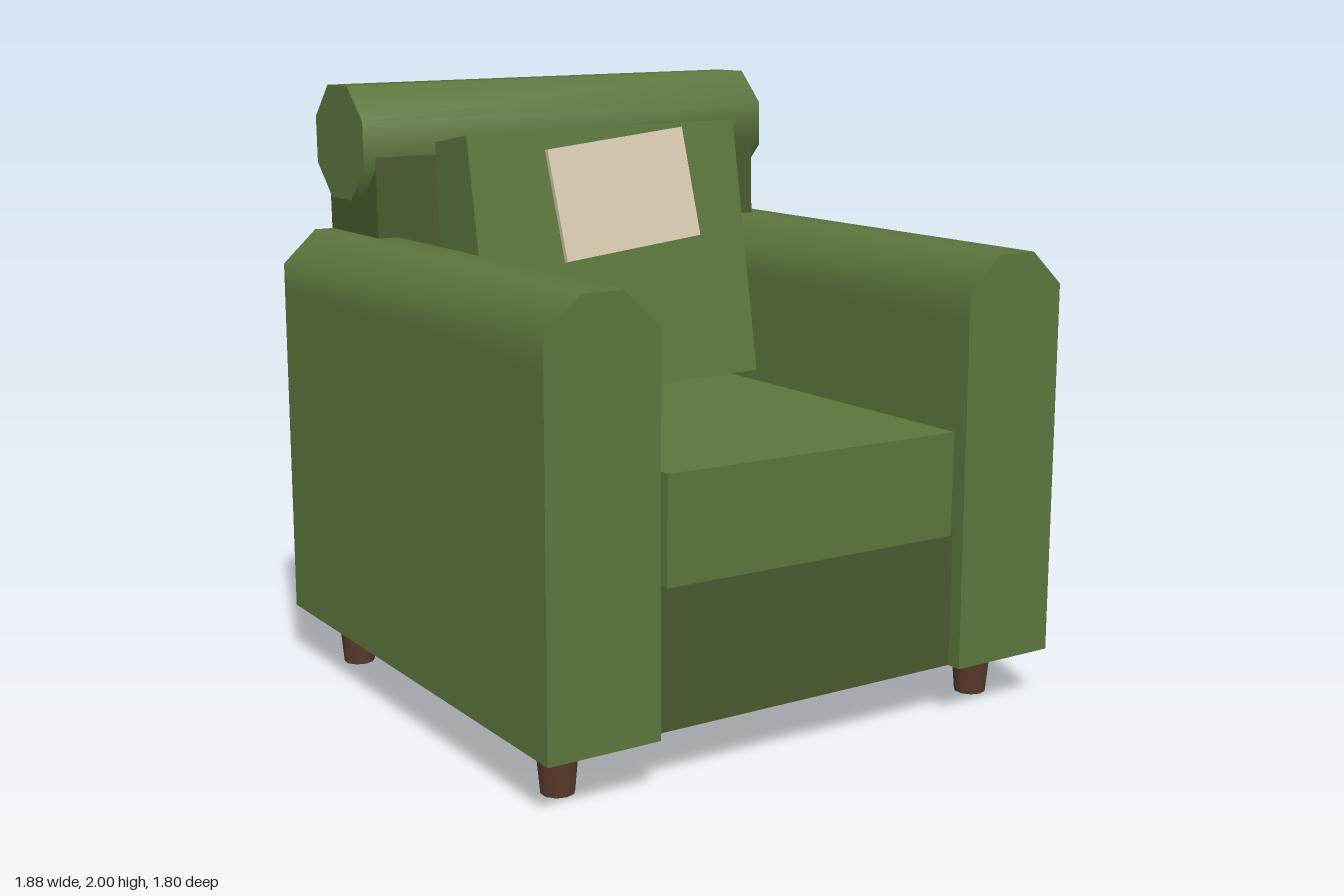
import * as THREE from 'three';
import { toCreasedNormals } from 'three/addons/utils/BufferGeometryUtils.js';

const material = (name, color) => {
  const m = new THREE.MeshStandardMaterial({ color });
  m.name = name;
  return m;
};

export function createModel() {
  const green = material('green fabric', 0x5c753c);
  const darkGreen = material('dark green fabric', 0x485a2d);
  const cream = material('cream fabric', 0xdacdb2);
  const wood = material('brown wood', 0x5a3a2c);

  const model = new THREE.Group();
  model.name = 'armchair';

  const add = (name, geometry, mat, pos, rot = [0, 0, 0], parent = model) => {
    const mesh = new THREE.Mesh(geometry, mat);
    mesh.name = name;
    mesh.position.set(...pos);
    mesh.rotation.set(...rot);
    parent.add(mesh);
    return mesh;
  };

  // Extrudes a profile, centred along its depth, with softened shallow edges
  const extrude = (points, depth) => {
    const shape = new THREE.Shape(points.map(([x, y]) => new THREE.Vector2(x, y)));
    const geometry = new THREE.ExtrudeGeometry(shape, { depth, bevelEnabled: false });
    geometry.translate(0, 0, -depth / 2);
    return toCreasedNormals(geometry, 0.9);
  };

  // Arms with chamfered, softly shaded tops
  const w = 0.1875;
  const armGeometry = extrude([
    [-w, 0.17], [w, 0.17], [w, 1.28], [w, 1.38], [0.07, 1.49],
    [-0.07, 1.49], [-w, 1.38], [-w, 1.28],
  ], 1.78);
  add('leftArm', armGeometry, green, [0.7525, 0, 0.01]);
  add('rightArm', armGeometry, green, [-0.7525, 0, 0.01]);

  // Frame: seat base and slightly reclined backrest
  add('seatBase', new THREE.BoxGeometry(1.13, 0.45, 1.7), darkGreen, [0, 0.395, 0]);
  add('backrest', new THREE.BoxGeometry(1.505, 1.16, 0.375), darkGreen,
    [-0.002, 1.17, -0.692], [-0.03, 0, 0]);

  // Octagonal head roll
  const r = 0.203;
  const octagon = Array.from({ length: 8 }, (_, i) => {
    const a = (i + 0.5) * Math.PI / 4;
    return [r * Math.cos(a), r * Math.sin(a)];
  });
  const rollGeometry = extrude(octagon, 1.585);
  rollGeometry.rotateY(Math.PI / 2);
  add('headRoll', rollGeometry, green, [-0.005, 1.805, -0.71], [0, 0, 0.0126]);

  // Loose seat cushion, a little askew
  add('seatCushion', new THREE.BoxGeometry(1.085, 0.335, 1.37), green,
    [-0.003, 0.776, 0.183], [0, 0.022, -0.013]);

  // Leaning back cushion with a cream patch on its front
  const cushion = new THREE.Group();
  cushion.name = 'backCushion';
  cushion.position.set(-0.005, 1.404, -0.23);
  cushion.rotation.set(-0.157, 0, 0.017);
  model.add(cushion);
  add('cushionBody', new THREE.BoxGeometry(1.05, 0.885, 0.3), green,
    [0, 0, -0.15], [0, 0, 0], cushion);
  add('patch', new THREE.BoxGeometry(0.54, 0.377, 0.03), cream,
    [0.045, 0.215, 0.003], [0, 0, 0.088], cushion);

  // Tapered legs
  const legGeometry = new THREE.CylinderGeometry(0.069, 0.052, 0.18, 10);
  for (const [side, x] of [['Left', 0.79], ['Right', -0.797]]) {
    add('front' + side + 'Leg', legGeometry, wood, [x, 0.09, 0.705]);
    add('back' + side + 'Leg', legGeometry, wood, [x, 0.09, -0.675]);
  }

  return model;
}
